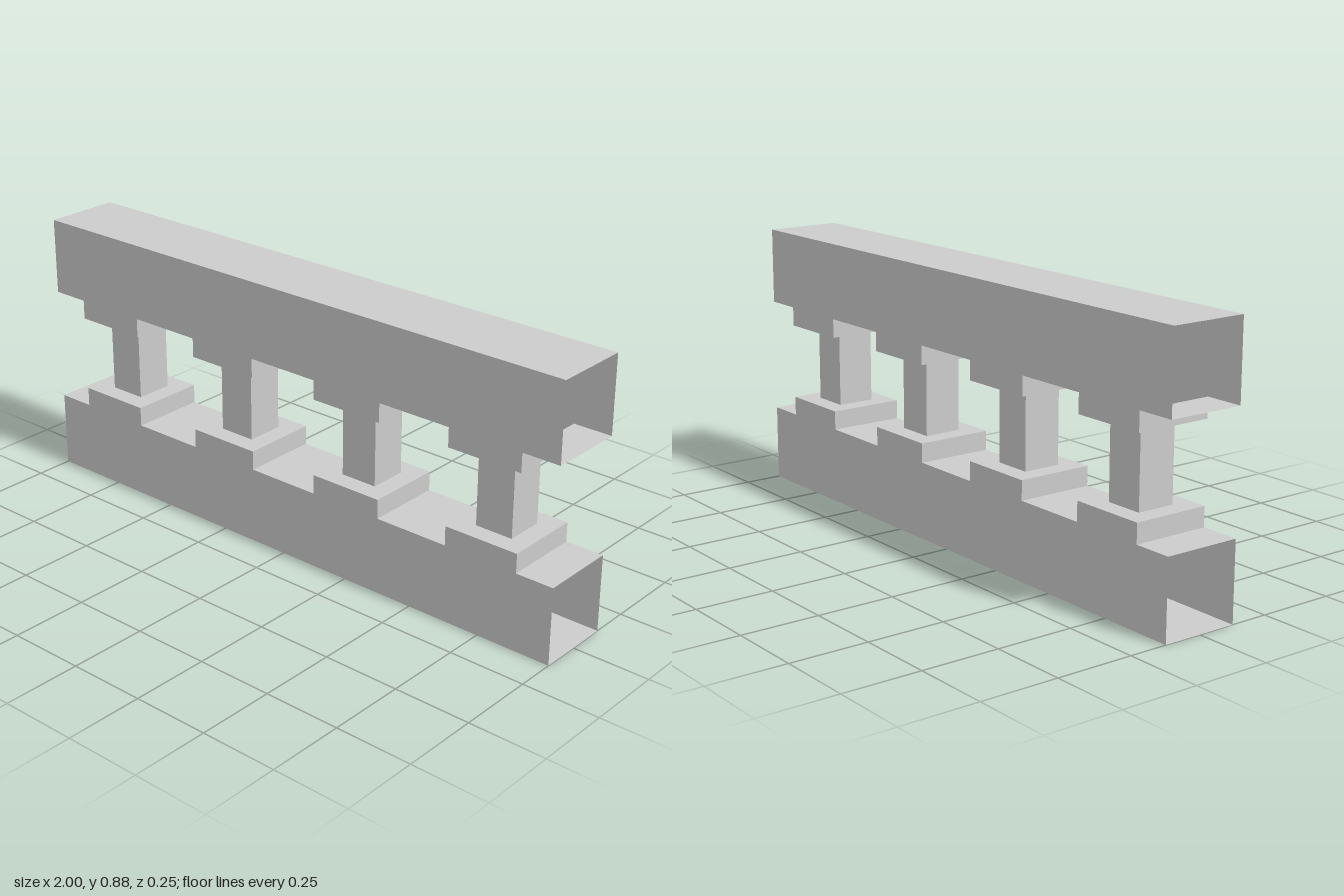
import * as THREE from 'three';

const LENGTH = 2, HEIGHT = 0.875, DEPTH = 0.25;
const RAIL = 0.25, PLINTH = 0.0625, SHAFT = 0.125;
const CENTRES = [-0.75, -0.25, 0.25, 0.75];

// Remove the two end faces lying at -limit and +limit on an axis (0 = x, 1 = y)
function openEnds(geometry, axis, limit) {
  const src = geometry.index ? geometry.toNonIndexed() : geometry;
  const p = src.attributes.position;
  const kept = [];
  for (let i = 0; i < p.count; i += 3) {
    const corners = [i, i + 1, i + 2];
    const onEnd = (end) => corners.every((k) => Math.abs(p.getComponent(k, axis) - end) < 1e-4);
    if (onEnd(limit) || onEnd(-limit)) continue;
    for (const k of corners) kept.push(p.getX(k), p.getY(k), p.getZ(k));
  }
  const out = new THREE.BufferGeometry();
  out.setAttribute('position', new THREE.Float32BufferAttribute(kept, 3));
  out.computeVertexNormals();
  return out;
}

// Hollow rail with stepped plinths along its upper edge, open at both ends
function railGeometry() {
  const half = LENGTH / 2, step = 0.125;
  const shape = new THREE.Shape();
  shape.moveTo(-half, 0);
  shape.lineTo(half, 0);
  shape.lineTo(half, RAIL);
  for (const x of [...CENTRES].reverse()) {
    shape.lineTo(x + step, RAIL);
    shape.lineTo(x + step, RAIL + PLINTH);
    shape.lineTo(x - step, RAIL + PLINTH);
    shape.lineTo(x - step, RAIL);
  }
  shape.lineTo(-half, RAIL);
  const solid = new THREE.ExtrudeGeometry(shape, { depth: DEPTH, bevelEnabled: false });
  solid.translate(0, 0, -DEPTH / 2);
  return openEnds(solid, 0, half);
}

export function createModel() {
  const model = new THREE.Group();
  model.name = 'balustrade';
  const material = new THREE.MeshStandardMaterial({
    color: 0xcccccc, flatShading: true, side: THREE.DoubleSide,
  });

  // Lower rail, and the same rail turned over for the top
  const rail = railGeometry();
  const lowerRail = new THREE.Mesh(rail, material);
  lowerRail.name = 'lowerRail';
  const upperRail = new THREE.Mesh(rail, material);
  upperRail.name = 'upperRail';
  upperRail.rotation.x = Math.PI;
  upperRail.position.y = HEIGHT;
  model.add(lowerRail, upperRail);

  // Square balusters between the plinths, without hidden end caps
  const h = HEIGHT - 2 * (RAIL + PLINTH);
  const shaft = openEnds(new THREE.BoxGeometry(SHAFT, h, SHAFT), 1, h / 2);
  CENTRES.forEach((x, i) => {
    const baluster = new THREE.Mesh(shaft, material);
    baluster.name = `baluster${i + 1}`;
    baluster.position.set(x, HEIGHT / 2, 0);
    model.add(baluster);
  });

  return model;
}
